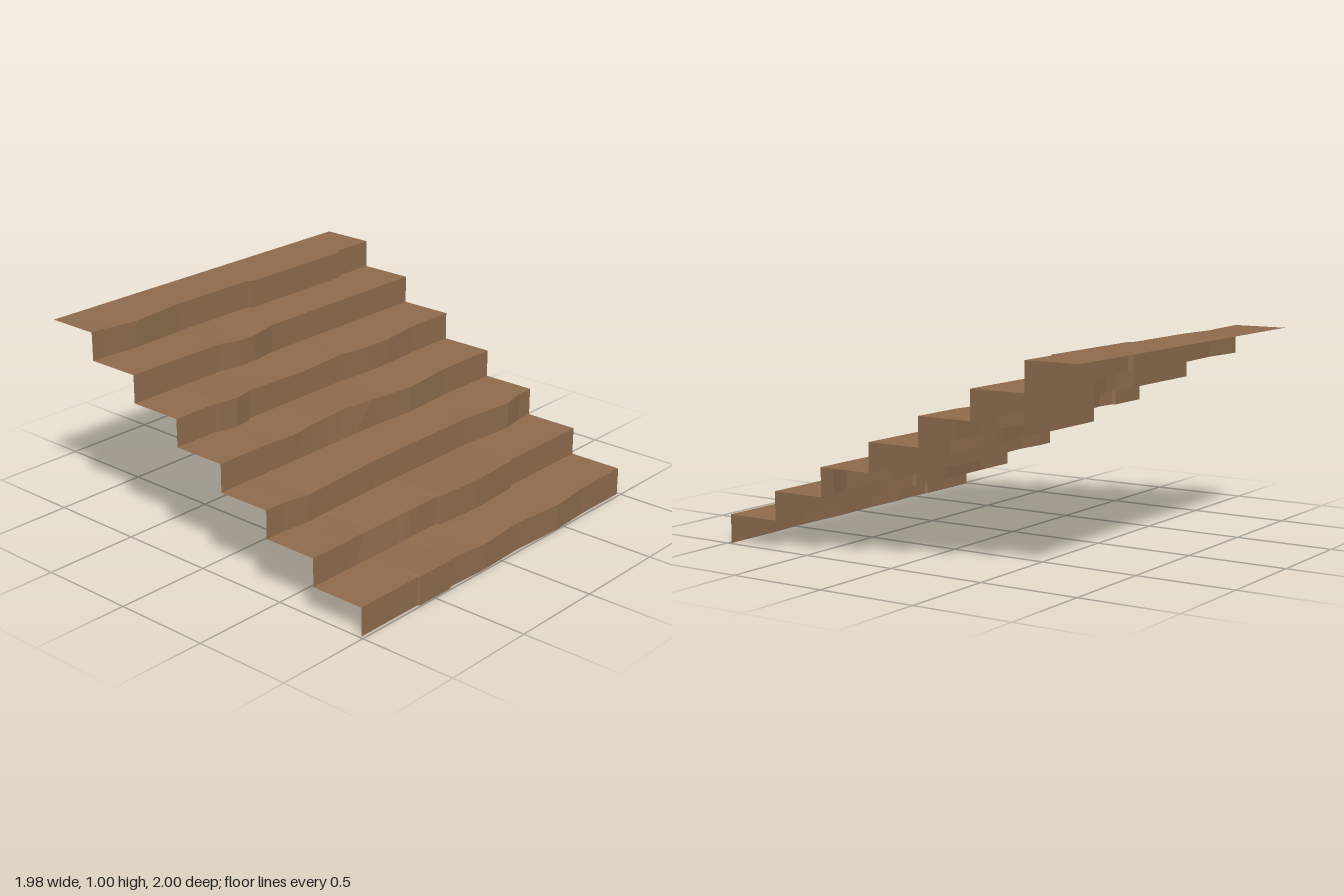
import * as THREE from 'three';

const HALF = 0.99, RISE = 1 / 7, RUN = 0.2843, FRONT = 0.983;

// Wear on a nosing: ramps up over a..b, holds to c, fades out at d
const wear = (a, b, c, d, out, lift) => ({
  ends: [a, b, c, d],
  out, lift,
  weight: x => Math.max(0, Math.min(1, (x - a) / (b - a), (d - x) / (d - c))),
});
const dent = (a, peak, d, out, lift) => wear(a, peak, peak, d, out, lift);
const plate = (a, d, out, lift) => wear(a, a + 0.01, d - 0.01, d, out, lift);

// Wear of each step, from the bottom up
const STEPS = [
  [plate(-0.61, -0.37, 0.01, 0.004), dent(-0.34, -0.12, 0.1, 0.01, -0.01), dent(0.15, 0.45, 0.68, 0.013, -0.01)],
  [wear(-0.77, -0.6, -0.4, -0.26, -0.015, -0.01), plate(-0.13, 0.45, 0.018, 0.005), dent(-0.12, 0.13, 0.44, 0.017, 0)],
  [dent(-0.88, -0.73, -0.25, 0.017, -0.009), dent(0.45, 0.77, 0.9, 0.025, -0.006)],
  [dent(-0.72, -0.52, -0.3, 0, -0.01), dent(-0.5, -0.12, 0.06, -0.015, 0.005), dent(0.06, 0.33, 0.62, 0.017, -0.01)],
  [plate(-0.74, -0.52, 0.015, 0.004), dent(-0.73, -0.63, -0.53, 0.015, 0), dent(-0.52, -0.13, 0.13, 0, -0.012),
    wear(0.13, 0.33, 0.5, 0.7, 0.014, -0.009)],
  [wear(-0.43, -0.3, -0.2, -0.06, 0.02, -0.01)],
  [dent(-0.95, -0.73, -0.43, 0.018, -0.008), plate(0.06, 0.75, 0.023, 0)],
];

// Total of one kind of wear ("out" or "lift") on a step at x
const total = (step, kind, x) => step.reduce((sum, w) => sum + w[kind] * w.weight(x), 0);

// Flat-faced strip between two edges with matching columns
function strip(a, b) {
  const pos = [];
  for (let i = 0; i < a.length - 1; i++) {
    for (const p of [a[i], a[i + 1], b[i + 1], a[i], b[i + 1], b[i]]) pos.push(...p);
  }
  const geo = new THREE.BufferGeometry();
  geo.setAttribute('position', new THREE.Float32BufferAttribute(pos, 3));
  geo.computeVertexNormals();
  return geo;
}

export function createModel() {
  const group = new THREE.Group();
  group.name = 'wornStaircase';
  const wood = new THREE.MeshStandardMaterial({ color: 0x8f6c4e, side: THREE.DoubleSide, flatShading: true });
  wood.name = 'brown wood';

  // Shared columns, so neighbouring treads and risers meet exactly
  const ends = STEPS.flat().flatMap(w => w.ends);
  const columns = [...new Set([-HALF, ...ends, HALF])].sort((p, q) => p - q);

  // Bottom edge of a riser; the last one is the back edge of the top landing
  const foot = k => columns.map(x => k === STEPS.length
    ? [x, 1, -1]
    : [x, k * RISE, FRONT - k * RUN + Math.max(0, total(STEPS[k], 'out', x))]);
  const nosing = k => columns.map(x => [
    x,
    (k + 1) * RISE + total(STEPS[k], 'lift', x),
    FRONT - k * RUN + total(STEPS[k], 'out', x),
  ]);

  const add = (name, geo) => {
    const mesh = new THREE.Mesh(geo, wood);
    mesh.name = name;
    group.add(mesh);
  };
  STEPS.forEach((_, k) => {
    add(`riser${k + 1}`, strip(foot(k), nosing(k)));
    add(`tread${k + 1}`, strip(nosing(k), foot(k + 1)));
  });
  return group;
}
